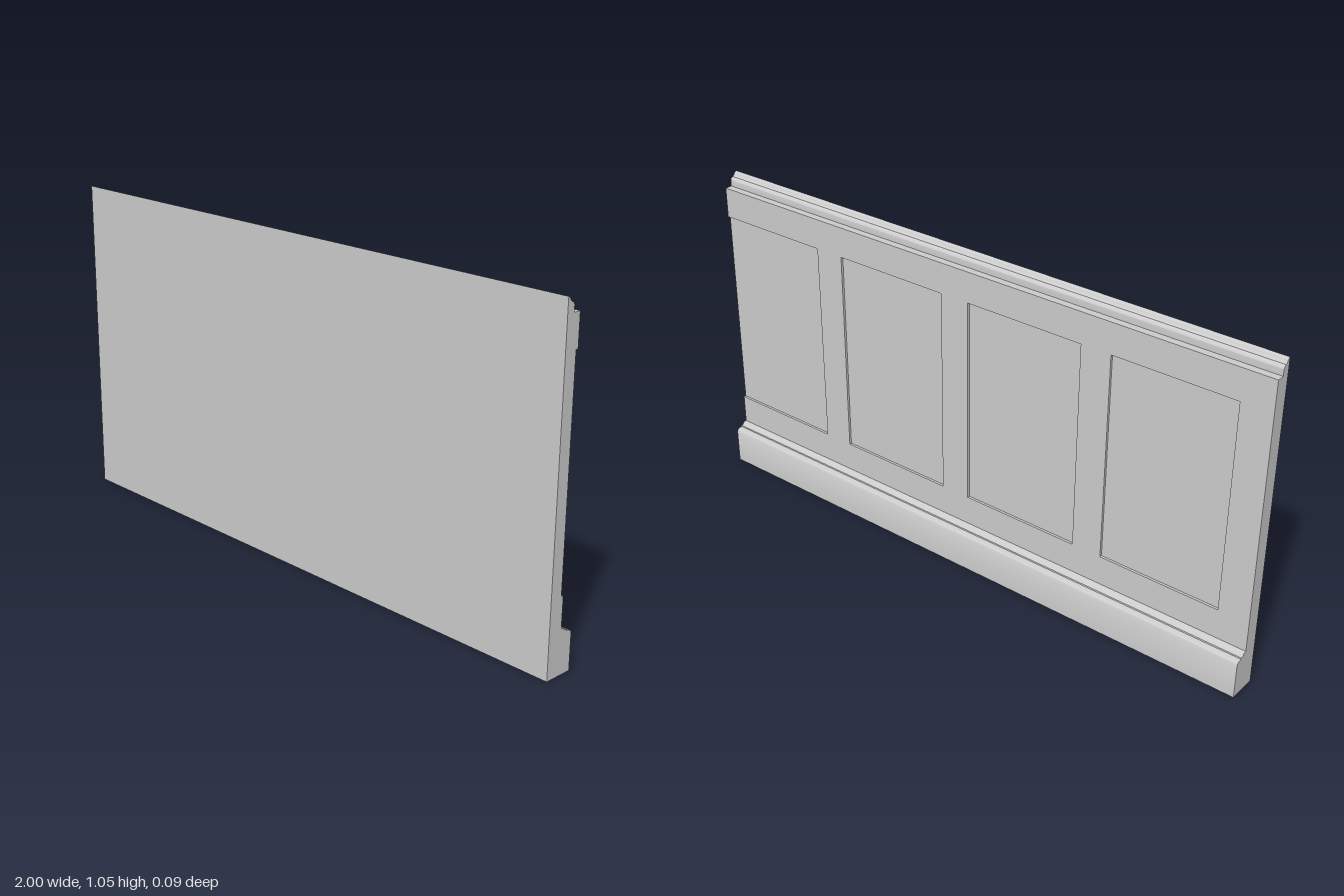
import * as THREE from 'three';
import { toCreasedNormals } from 'three/addons/utils/BufferGeometryUtils.js';

const LENGTH = 2;
const BACK = 0.047, FACE = -0.003, RECESS = 0.005; // z of flat side, frame face, sunk panels
const RAIL_LOW = 0.236, RAIL_HIGH = 0.911;         // y range of the sunk panels
const SKIRT_TOP = 0.139, CAP_BASE = 1.01;

export function createModel() {
  const group = new THREE.Group();
  group.name = 'wallPanelling';
  const material = new THREE.MeshStandardMaterial({ color: 0xcccccc });

  function add(name, geometry) {
    const mesh = new THREE.Mesh(toCreasedNormals(geometry, 0.6), material);
    mesh.name = name;
    group.add(mesh);
  }

  // Moulded board: one profile (u = -z, v = y) run along the whole length
  const p = new THREE.Shape();
  p.moveTo(-BACK, 0);
  p.lineTo(0.047, 0);
  p.lineTo(0.047, 0.114);
  p.quadraticCurveTo(0.046, 0.125, 0.027, 0.126); // skirting round
  p.lineTo(0.026, 0.13);
  p.quadraticCurveTo(0.017, 0.13, 0.014, 0.137);  // skirting cove
  p.lineTo(0.011, SKIRT_TOP);
  p.lineTo(-RECESS, SKIRT_TOP);
  p.lineTo(-RECESS, CAP_BASE);
  p.lineTo(-0.021, CAP_BASE);
  p.lineTo(-0.021, 1.029);
  p.quadraticCurveTo(-0.022, 1.037, -0.031, 1.039); // cap round
  p.lineTo(-0.032, 1.041);
  p.quadraticCurveTo(-0.037, 1.042, -0.039, 1.05);  // cap cove
  p.lineTo(-0.041, 1.051);
  p.lineTo(-BACK, 1.055);
  p.closePath();
  const board = new THREE.ExtrudeGeometry(p, { depth: LENGTH, bevelEnabled: false, curveSegments: 8 });
  board.translate(0, 0, -LENGTH / 2).rotateY(Math.PI / 2);
  add('mouldedBoard', board);

  // Raised frame: rails and stiles, with the last bay open at the +x end
  const f = new THREE.Shape([
    [-1, SKIRT_TOP], [1, SKIRT_TOP], [1, RAIL_LOW], [0.6, RAIL_LOW],
    [0.6, RAIL_HIGH], [1, RAIL_HIGH], [1, CAP_BASE], [-1, CAP_BASE],
  ].map(([x, y]) => new THREE.Vector2(x, y)));
  for (let i = 0; i < 3; i++) {
    const x = -0.9 + i * 0.5;
    f.holes.push(new THREE.Path([
      [x, RAIL_LOW], [x, RAIL_HIGH], [x + 0.4, RAIL_HIGH], [x + 0.4, RAIL_LOW],
    ].map(([a, b]) => new THREE.Vector2(a, b))));
  }
  const frame = new THREE.ExtrudeGeometry(f, { depth: RECESS - FACE, bevelEnabled: false });
  frame.translate(0, 0, FACE);
  add('raisedFrame', frame);

  return group;
}
